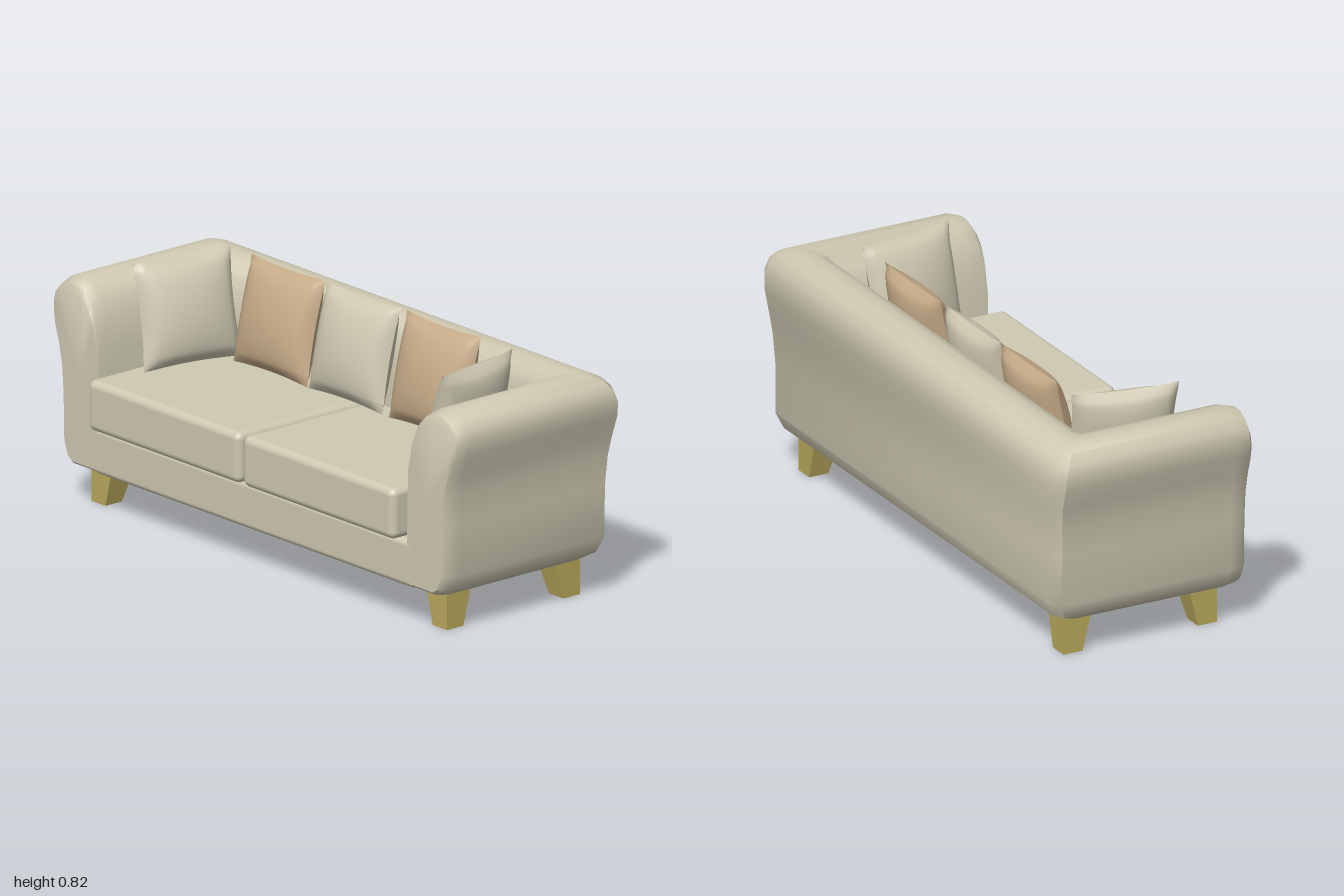
import * as THREE from 'three';
import { toCreasedNormals, mergeGeometries } from 'three/addons/utils/BufferGeometryUtils.js';
import { RoundedBoxGeometry } from 'three/addons/geometries/RoundedBoxGeometry.js';

const material = (color) => new THREE.MeshStandardMaterial({ color });
const cream = material(0xcfc9b2);
const tan = material(0xc6ab88);
const gold = material(0xb9a85c);

// Arm and back section: [offset outward from inner arm face, height, depth on the back]
const SECTION = [
  [0, .13, .18], [0, .30, .18], [.005, .55, .18], [.025, .65, .19], [.05, .71, .205],
  [.085, .745, .23], [.13, .76, .27], [.17, .758, .31], [.205, .74, .35], [.232, .71, .375],
  [.24, .67, .388], [.232, .62, .39], [.21, .55, .385], [.195, .48, .378], [.187, .38, .372],
  [.183, .2, .372], [.165, .15, .35], [.14, .13, .29],
];
const INNER_X = 0.76;

// Rolled arms and back swept round a U, with chamfered rear corners and softened front ends
function armsAndBackGeometry() {
  const front = (z, s) => SECTION.map(([o, y]) => [INNER_X + o * s, .3 + (y - .3) * s, z]);
  const half = [
    front(.33, .91),
    front(.318, .965),
    front(.27, 1),
    SECTION.map(([o, y, d]) => [INNER_X + o, y, -d + .004 + .1 * o]),
    SECTION.map(([o, y, d]) => [INNER_X + o - .004 - .18 * o, y, -d]),
  ];
  const mirror = (ring) => ring.map(([x, y, z]) => [-x, y, z]);
  const rings = [...half.map(mirror), ...half.slice().reverse()];
  const positions = [];
  const tri = (...points) => points.forEach((p) => positions.push(...p));
  const n = SECTION.length;
  for (let i = 0; i < rings.length - 1; i++) {
    for (let j = 0; j < n; j++) {
      const k = (j + 1) % n;
      const a = rings[i][j], b = rings[i + 1][j], c = rings[i + 1][k], d = rings[i][k];
      tri(a, b, c);
      tri(a, c, d);
    }
  }
  // Front caps of both arms
  const last = rings[rings.length - 1];
  for (let j = 0; j < n; j++) {
    const k = (j + 1) % n;
    tri([-INNER_X - .09, .45, .332], rings[0][j], rings[0][k]);
    tri([INNER_X + .09, .45, .332], last[k], last[j]);
  }
  const geometry = new THREE.BufferGeometry();
  geometry.setAttribute('position', new THREE.Float32BufferAttribute(positions, 3));
  return toCreasedNormals(geometry, 0.7);
}

// Square pillow: two bulging faces meeting at a pinched seam
function pillowGeometry(halfW, halfH, halfT) {
  const face = new THREE.PlaneGeometry(2, 2, 18, 18);
  const p = face.attributes.position;
  for (let i = 0; i < p.count; i++) {
    const u = p.getX(i), v = p.getY(i);
    const bulge = Math.max(0, (1 - u * u) * (1 - v * v));
    p.setXYZ(i,
      halfW * u * (1 - .06 * (1 - v * v)),
      halfH * v * (1 - .05 * (1 - u * u)),
      halfT * Math.pow(bulge, .45));
  }
  face.computeVertexNormals();
  return mergeGeometries([face, face.clone().rotateY(Math.PI)]);
}

// Square leg, straight on its outer sides and tapering inward below
function legGeometry(sx, sz) {
  const geometry = new THREE.BoxGeometry(1, 1, 1).toNonIndexed();
  const p = geometry.attributes.position;
  for (let i = 0; i < p.count; i++) {
    const top = p.getY(i) > 0;
    const size = top ? .105 : .07;
    const outerZ = sz > 0 ? .26 : .305;
    const inwardX = p.getX(i) * sx > 0 ? 0 : size;
    const inwardZ = p.getZ(i) * sz > 0 ? 0 : size;
    p.setXYZ(i, sx * (.875 - inwardX), top ? .14 : 0, sz * (outerZ - inwardZ));
  }
  geometry.computeVertexNormals();
  return geometry;
}

export function createModel() {
  const model = new THREE.Group();
  const add = (name, geometry, mat, x = 0, y = 0, z = 0) => {
    const mesh = new THREE.Mesh(geometry, mat);
    mesh.name = name;
    mesh.position.set(x, y, z);
    model.add(mesh);
    return mesh;
  };

  add('armsAndBack', armsAndBackGeometry(), cream);

  // Base rail and seat deck between the arms
  add('base', new RoundedBoxGeometry(1.58, .158, .65, 4, .02), cream, 0, .21, .006);

  // Seat cushions
  for (const side of [-1, 1]) {
    add(side > 0 ? 'leftSeatCushion' : 'rightSeatCushion',
      new RoundedBoxGeometry(.745, .172, .57, 4, .025), cream, side * .38, .383, .1);
  }

  // Back pillows leaning on the backrest
  const pillow = pillowGeometry(.183, .178, .065);
  [[-.4, tan], [-.03, cream], [.365, tan]].forEach(([x, mat], i) => {
    const mesh = add(`backPillow${i + 1}`, pillow, mat, x, .645, -.13);
    mesh.rotation.x = -.22;
  });

  // Side pillows leaning on the arms
  for (const side of [-1, 1]) {
    const mesh = add(side > 0 ? 'leftArmPillow' : 'rightArmPillow', pillow, cream, side * .69, .64, .012);
    mesh.rotation.set(-.22, -side * 1.38, 0, 'YXZ');
  }

  // Legs
  for (const sx of [-1, 1]) {
    for (const sz of [-1, 1]) {
      const name = (sz > 0 ? 'front' : 'rear') + (sx > 0 ? 'Left' : 'Right') + 'Leg';
      const mesh = add(name, legGeometry(sx, sz), gold);
      mesh.updateMatrix();
    }
  }
  return model;
}
